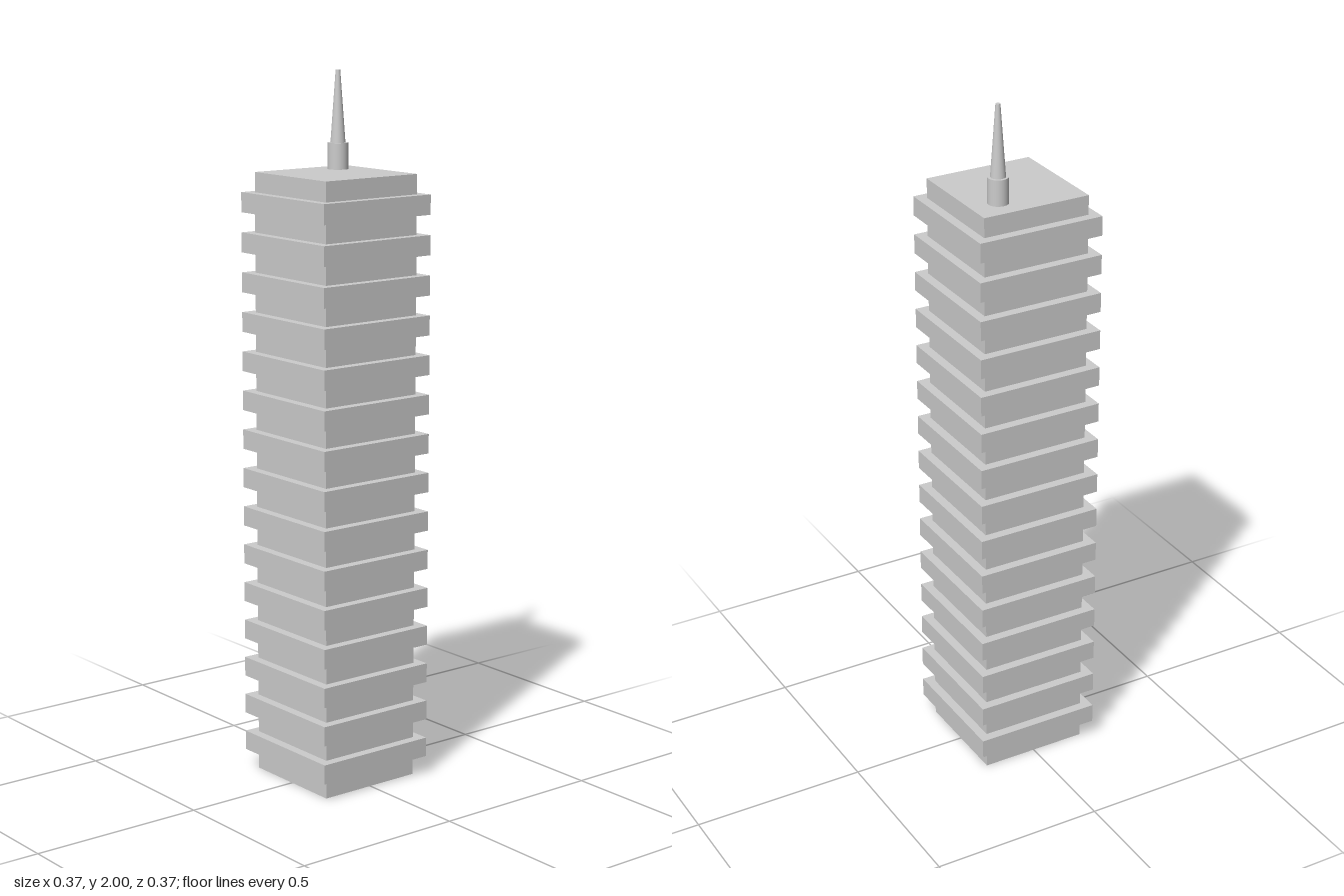
import * as THREE from 'three';

export function createModel() {
  const model = new THREE.Group();
  const material = new THREE.MeshStandardMaterial({ color: 0xcccccc });

  function add(name, geometry, x, y, z) {
    const mesh = new THREE.Mesh(geometry, material);
    mesh.name = name;
    mesh.position.set(x, y, z);
    model.add(mesh);
    return mesh;
  }

  const bands = 15;
  const storey = 0.0557; // height of a band and of the gap between bands
  const roof = storey * (2 * bands + 1);

  // Square tower core
  add('towerCore', new THREE.BoxGeometry(0.316, roof, 0.316), 0, roof / 2, 0);

  // Projecting floor bands
  const bandGeometry = new THREE.BoxGeometry(0.37, storey, 0.37);
  for (let i = 0; i < bands; i++) {
    add(`floorBand${i + 1}`, bandGeometry, 0, storey * (2 * i + 1.5), 0);
  }

  // Rooftop mast: a short drum carrying a tapered spire
  const mastX = 0.075, mastZ = -0.084, drumTop = 1.8;
  const drumHeight = drumTop - roof;
  const spireHeight = 2 - drumTop;
  add('mastBase', new THREE.CylinderGeometry(0.029, 0.029, drumHeight, 32), mastX, roof + drumHeight / 2, mastZ);
  add('mastSpire', new THREE.CylinderGeometry(0.0065, 0.021, spireHeight, 32), mastX, drumTop + spireHeight / 2, mastZ);

  return model;
}
